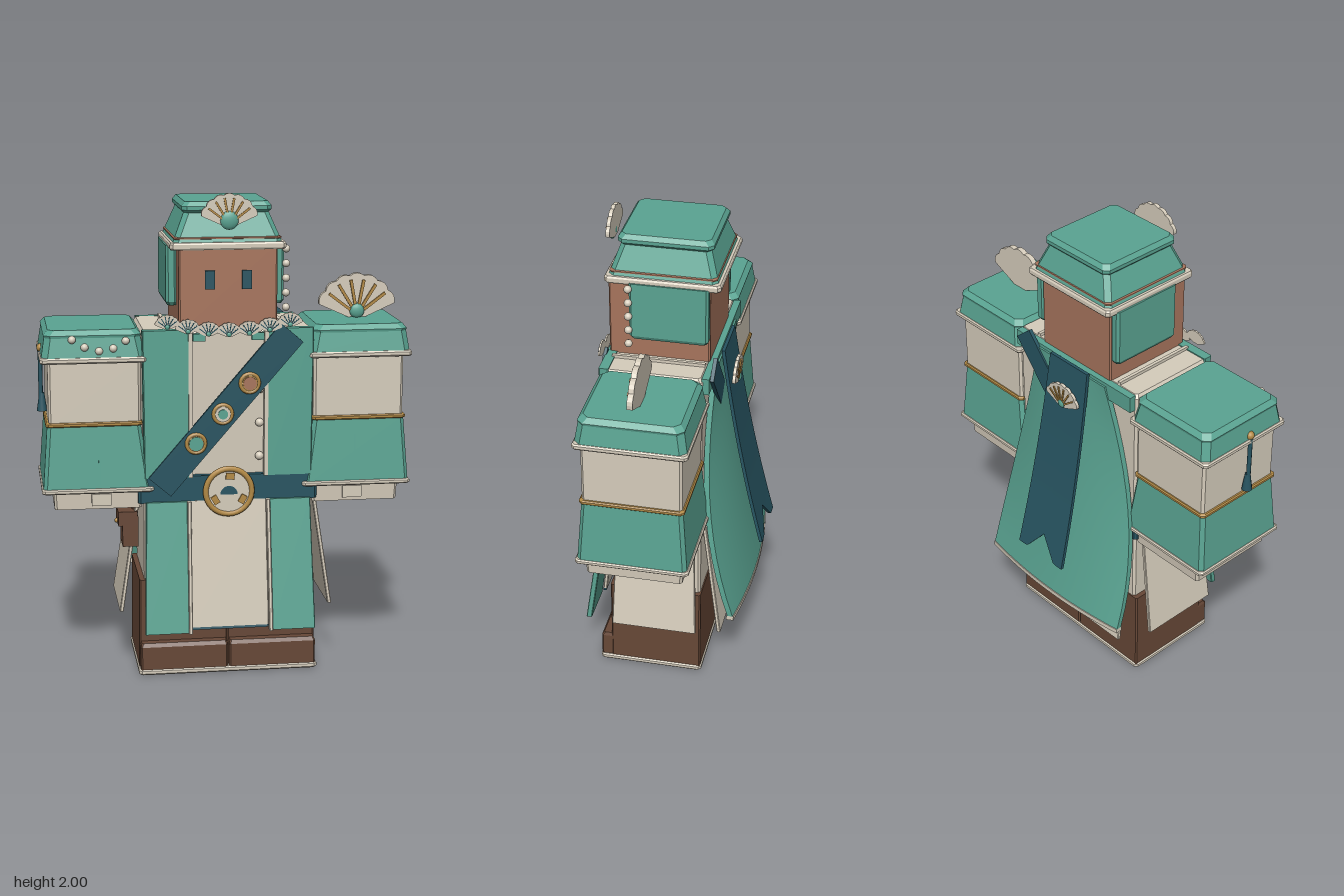
import * as THREE from 'three';

const mat = (name, color) => {
  const m = new THREE.MeshStandardMaterial({ color });
  m.name = name;
  return m;
};

export function createModel() {
  const root = new THREE.Group();
  root.name = 'robedFigure';
  const teal = mat('teal cloth', 0x5aa492);
  const cream = mat('cream cloth', 0xd6cdbc);
  const navy = mat('dark teal', 0x275461);
  const brown = mat('brown leather', 0x674837);
  const skin = mat('skin', 0xa8755d);
  const gold = mat('gold', 0xb38a45);

  const add = (name, geo, m, x = 0, y = 0, z = 0, parent = root) => {
    const mesh = new THREE.Mesh(geo, m);
    mesh.name = name;
    mesh.position.set(x, y, z);
    parent.add(mesh);
    return mesh;
  };
  const box = (name, m, x, y, z, w, h, d, parent) =>
    add(name, new THREE.BoxGeometry(w, h, d), m, x, y, z, parent);
  const ball = (name, m, x, y, z, r, parent) =>
    add(name, new THREE.SphereGeometry(r, 14, 10), m, x, y, z, parent);

  // Faceted loft, bottom to top, through chamfered rectangles; ring = [y, centreX, halfX, centreZ, halfZ]
  const solid = (name, m, rings, c = 0.01, s = 1) => {
    const pos = [], idx = [];
    for (const [y, cx, hx, cz, hz] of rings) {
      const corners = [[hx, hz - c], [hx - c, hz], [c - hx, hz], [-hx, hz - c],
        [-hx, c - hz], [c - hx, -hz], [hx - c, -hz], [hx, c - hz]];
      for (const [x, z] of corners) pos.push(s * cx + x, y, cz + z);
    }
    const top = (rings.length - 1) * 8;
    for (let r = 0; r < top; r += 8)
      for (let i = 0; i < 8; i++) {
        const j = (i + 1) % 8;
        idx.push(r + i, r + 8 + i, r + j, r + j, r + 8 + i, r + 8 + j);
      }
    for (let i = 1; i < 7; i++) idx.push(0, i, i + 1, top, top + i + 1, top + i);
    let g = new THREE.BufferGeometry();
    g.setAttribute('position', new THREE.Float32BufferAttribute(pos, 3));
    g.setIndex(idx);
    g = g.toNonIndexed();
    g.computeVertexNormals();
    return add(name, g, m);
  };
  const slab = (name, m, y, h, cx, hx, cz, hz, s) => solid(name, m, [
    [y - h / 2, cx, hx - 0.005, cz, hz - 0.005], [y - h / 4, cx, hx, cz, hz],
    [y + h / 4, cx, hx, cz, hz], [y + h / 2, cx, hx - 0.005, cz, hz - 0.005]], 0.012, s);

  // Scalloped fan with ribs and a round boss
  const fan = (name, x, y, z, r, ribMat = gold, bossMat = teal) => {
    const g = new THREE.Group();
    g.name = name;
    g.position.set(x, y, z);
    root.add(g);
    const n = 7, a0 = 0.28, step = (Math.PI - 2 * a0) / n, d = r * 0.13;
    const shape = new THREE.Shape();
    shape.moveTo(-r * 0.22, -r * 0.05);
    shape.lineTo(r * 0.22, -r * 0.05);
    shape.lineTo(r * Math.cos(a0) * 0.95, r * Math.sin(a0) * 0.95);
    for (let i = 0; i < n; i++) {
      const m = a0 + (i + 0.5) * step, e = a0 + (i + 1) * step;
      shape.quadraticCurveTo(r * 1.07 * Math.cos(m), r * 1.07 * Math.sin(m),
        r * 0.95 * Math.cos(e), r * 0.95 * Math.sin(e));
    }
    shape.closePath();
    add('fanLeaf', new THREE.ExtrudeGeometry(shape, { depth: d, bevelEnabled: false, curveSegments: 4 }),
      cream, 0, 0, -d / 2, g);
    for (let i = 1; i < n; i++) {
      const a = a0 + i * step;
      const rib = box('fanRib', ribMat, 0.53 * r * Math.cos(a), 0.53 * r * Math.sin(a), d * 0.6,
        r * 0.64, r * 0.07, d * 0.5, g);
      rib.rotation.z = a;
    }
    ball('fanBoss', bossMat, 0, r * 0.1, d * 0.6, r * 0.18, g).scale.z = 0.5;
    return g;
  };

  // Boots
  for (const s of [-1, 1]) {
    solid('boot', brown, [[0.02, 0.185, 0.185, 0.045, 0.195], [0.4, 0.183, 0.183, 0.045, 0.195]], 0.006, s);
    solid('bootToe', brown, [[0.02, 0.185, 0.182, 0.18, 0.105], [0.12, 0.185, 0.182, 0.18, 0.105],
      [0.135, 0.185, 0.177, 0.18, 0.095]], 0.006, s);
    fan('bootFan', s * 0.25, 0.3, 0.25, 0.055, navy);
  }
  slab('sole', cream, 0.012, 0.024, 0, 0.375, 0.067, 0.222);

  // Torso, belt and collar
  solid('robeBody', cream, [[0.38, 0, 0.345, 0.04, 0.185], [0.75, 0, 0.345, 0.045, 0.19],
    [1.43, 0, 0.35, 0.05, 0.2], [1.445, 0, 0.34, 0.05, 0.19]]);
  solid('belt', navy, [[0.735, 0, 0.37, 0.05, 0.215], [0.845, 0, 0.37, 0.05, 0.215]]);
  box('backYoke', teal, 0, 1.41, -0.16, 0.68, 0.07, 0.03);
  for (const s of [-1, 1]) {
    solid('coatFront', teal, [[0.84, 0.25, 0.095, 0.25, 0.02], [1.45, 0.255, 0.095, 0.25, 0.02]], 0.004, s);
    box('coatTrim', cream, s * 0.155, 1.14, 0.262, 0.016, 0.6, 0.026);
    box('shoulderTrim', cream, s * 0.24, 1.448, 0.05, 0.014, 0.02, 0.38);
    // Skirt tails and side flaps
    solid('coatTail', teal, [[0.2, 0.262, 0.092, 0.343, 0.012], [0.74, 0.255, 0.085, 0.265, 0.012]], 0.003, s);
    solid('tailTrim', cream, [[0.2, 0.167, 0.008, 0.352, 0.016], [0.74, 0.163, 0.008, 0.272, 0.016]], 0.003, s);
    solid('sideFlap', cream, [[0.26, 0.44, 0.008, 0.035, 0.18], [0.72, 0.37, 0.008, 0.04, 0.165]], 0.003, s);
  }
  solid('apron', cream, [[0.215, 0, 0.162, 0.32, 0.008], [0.74, 0, 0.162, 0.258, 0.008]], 0.003);
  solid('apronHem', navy, [[0.205, 0, 0.162, 0.322, 0.008], [0.215, 0, 0.162, 0.32, 0.008]], 0.003);
  solid('backPetticoat', cream, [[0.2, 0, 0.34, -0.225, 0.008], [0.72, 0, 0.3, -0.15, 0.008]], 0.003);
  for (const y of [1.34, 1.2, 1.06, 0.92]) ball('button', cream, 0.13, y, 0.256, 0.018);
  for (let i = -3; i <= 3; i++)
    fan('collarShell', i * 0.083, 1.425 + 0.004 * i * i, 0.28, 0.055, navy);
  for (const s of [-1, 1]) box('collarClasp', teal, s * 0.12, 1.42, 0.268, 0.05, 0.03, 0.02);

  // Belt buckle
  const round = (name, m, x, y, z, r, d) => {
    const c = add(name, new THREE.CylinderGeometry(r, r, d, 28), m, x, y, z);
    c.rotation.x = Math.PI / 2;
    return c;
  };
  round('buckleDisc', cream, 0, 0.78, 0.275, 0.095, 0.022);
  add('buckleRing', new THREE.TorusGeometry(0.095, 0.012, 8, 32), gold, 0, 0.78, 0.282);
  for (const a of [1.5, 3.67, 5.76]) {
    const tab = box('buckleTab', gold, 0.065 * Math.cos(a), 0.78 + 0.065 * Math.sin(a), 0.288, 0.026, 0.036, 0.012);
    tab.rotation.z = a;
  }
  add('buckleShell', new THREE.CircleGeometry(0.036, 12, 0, Math.PI), navy, 0, 0.768, 0.288);

  // Diagonal sash with medallions, and its end on the back
  const sash = box('sash', navy, -0.012, 1.118, 0.272, 0.12, 0.83, 0.014);
  sash.rotation.z = -0.713;
  const sashBack = box('sashBack', navy, 0.2, 1.36, -0.182, 0.1, 0.26, 0.016);
  sashBack.rotation.z = -0.7;
  [[0.085, 1.23, skin, gold, 0.027], [-0.025, 1.105, teal, cream, 0.02], [-0.135, 0.985, teal, gold, 0.029]]
    .forEach(([x, y, gem, rim, r]) => {
      round('medallion', cream, x, y, 0.281, 0.042, 0.014);
      add('medallionRing', new THREE.TorusGeometry(0.038, 0.008, 6, 20), gold, x, y, 0.284);
      round('medallionCore', rim, x, y, 0.285, 0.031, 0.012);
      round('medallionGem', gem, x, y, 0.288, r, 0.014);
    });

  // Sleeves
  for (const s of [-1, 1]) {
    slab('sleeveTopTrim', cream, 1.335, 0.024, 0.545, 0.215, 0.05, 0.227, s);
    solid('shoulderCap', teal, [[1.345, 0.545, 0.208, 0.05, 0.22], [1.425, 0.547, 0.193, 0.05, 0.207],
      [1.435, 0.547, 0.196, 0.05, 0.209], [1.455, 0.547, 0.178, 0.05, 0.19]], 0.025, s);
    solid('upperSleeve', cream, [[1.07, 0.542, 0.187, 0.05, 0.2], [1.33, 0.542, 0.187, 0.05, 0.2]], 0.01, s);
    slab('sleeveBand', gold, 1.07, 0.018, 0.545, 0.196, 0.05, 0.21, s);
    solid('flaredSleeve', teal, [[0.8, 0.537, 0.218, 0.05, 0.222], [1.062, 0.545, 0.19, 0.05, 0.203]], 0.015, s);
    slab('sleeveHem', cream, 0.797, 0.02, 0.534, 0.227, 0.05, 0.23, s);
    solid('cuff', cream, [[0.715, 0.532, 0.178, 0.05, 0.195], [0.79, 0.532, 0.182, 0.05, 0.2]], 0.01, s);
    box('cuffClasp', cream, s * 0.52, 0.755, 0.25, 0.08, 0.05, 0.015);
    box('sleevePleat', teal, s * 0.527, 0.91, 0.263, 0.006, 0.18, 0.008).rotation.x = -0.07;
  }
  [[-0.63, 1.42], [-0.58, 1.388], [-0.522, 1.372], [-0.465, 1.382], [-0.415, 1.412]]
    .forEach(([x, y]) => ball('shoulderBead', cream, x, y, 0.264, 0.016));
  fan('shoulderFan', 0.57, 1.465, 0.05, 0.175);

  // Tassel and belt pouch
  ball('tasselKnob', gold, -0.748, 1.36, 0.08, 0.018);
  add('tasselCord', new THREE.CylinderGeometry(0.009, 0.009, 0.2, 8), navy, -0.752, 1.26, 0.08);
  add('tassel', new THREE.CylinderGeometry(0.011, 0.022, 0.075, 10), navy, -0.748, 1.135, 0.08);
  box('pouch', brown, -0.4, 0.605, 0.16, 0.065, 0.13, 0.11);
  box('pouchFlap', brown, -0.41, 0.66, 0.16, 0.08, 0.06, 0.12);
  box('pouchStrap', brown, -0.38, 0.7, 0.16, 0.02, 0.08, 0.04);
  ball('pouchStud', gold, -0.452, 0.64, 0.16, 0.01);

  // Hanging cloths on the back: a bent slab, at(u, v) gives [x, y, z] for u -1..1 and v 0..1 downward
  const cloth = (name, m, depth, at) => {
    const g = new THREE.BoxGeometry(2, 1, depth, 20, 12, 1), p = g.attributes.position;
    for (let i = 0; i < p.count; i++) {
      const [x, y, z] = at(p.getX(i), 0.5 - p.getY(i));
      p.setXYZ(i, x, y, z + p.getZ(i));
    }
    g.computeVertexNormals();
    return add(name, g, m);
  };
  const capeAt = (u, v) => [u * (0.2 + 0.2 * Math.sin(v * Math.PI / 2)), 1.43 - 1.09 * v,
    -0.172 - 0.06 * v - 0.085 * v * v + 0.055 * u * u * Math.sin(v * 2.5)];
  cloth('cape', teal, 0.022, capeAt);
  cloth('capeHem', cream, 0.03, (u, v) => {
    const [x, y, z] = capeAt(u, 1);
    return [x, y - 0.02 * v, z];
  });
  cloth('backRibbon', navy, 0.014, (u, v) => {
    const w = v * (1 - 0.11 * Math.max(0, 1 - Math.abs(u) * 1.6));
    return [u * (0.11 + 0.025 * w), 1.45 - 0.9 * w, -0.187 - 0.125 * w - 0.053 * w * w];
  });
  fan('backFan', 0, 1.265, -0.228, 0.1).rotation.y = Math.PI;

  // Head
  solid('head', skin, [[1.445, 0, 0.2, 0.055, 0.205], [1.79, 0, 0.2, 0.055, 0.205]], 0.006);
  for (const s of [-1, 1]) {
    box('eye', navy, s * 0.075, 1.65, 0.262, 0.04, 0.075, 0.016);
    solid('sideHair', teal, [[1.535, 0.217, 0.017, 0.01, 0.15], [1.55, 0.22, 0.022, 0.01, 0.16],
      [1.78, 0.22, 0.022, 0.01, 0.16]], 0.01, s);
  }
  for (let i = 0; i < 5; i++) ball('hairBead', cream, 0.25, 1.52 + 0.06 * i, 0.17, 0.016);

  // Hat
  slab('hatBrim', cream, 1.785, 0.03, 0, 0.235, 0.037, 0.234);
  solid('hatCrown', teal, [[1.795, 0, 0.222, 0.037, 0.22], [1.915, 0, 0.172, 0.035, 0.18]], 0.02);
  slab('hatBand', skin, 1.815, 0.01, 0, 0.218, 0.037, 0.216);
  solid('hatTop', teal, [[1.91, 0, 0.168, 0.035, 0.178], [1.925, 0, 0.182, 0.035, 0.192],
    [1.94, 0, 0.182, 0.035, 0.192], [1.958, 0, 0.168, 0.035, 0.178]], 0.02);
  fan('hatFan', 0, 1.875, 0.282, 0.122);
  ball('hatGem', teal, 0, 1.89, 0.288, 0.038).scale.z = 0.4;

  return root;
}
